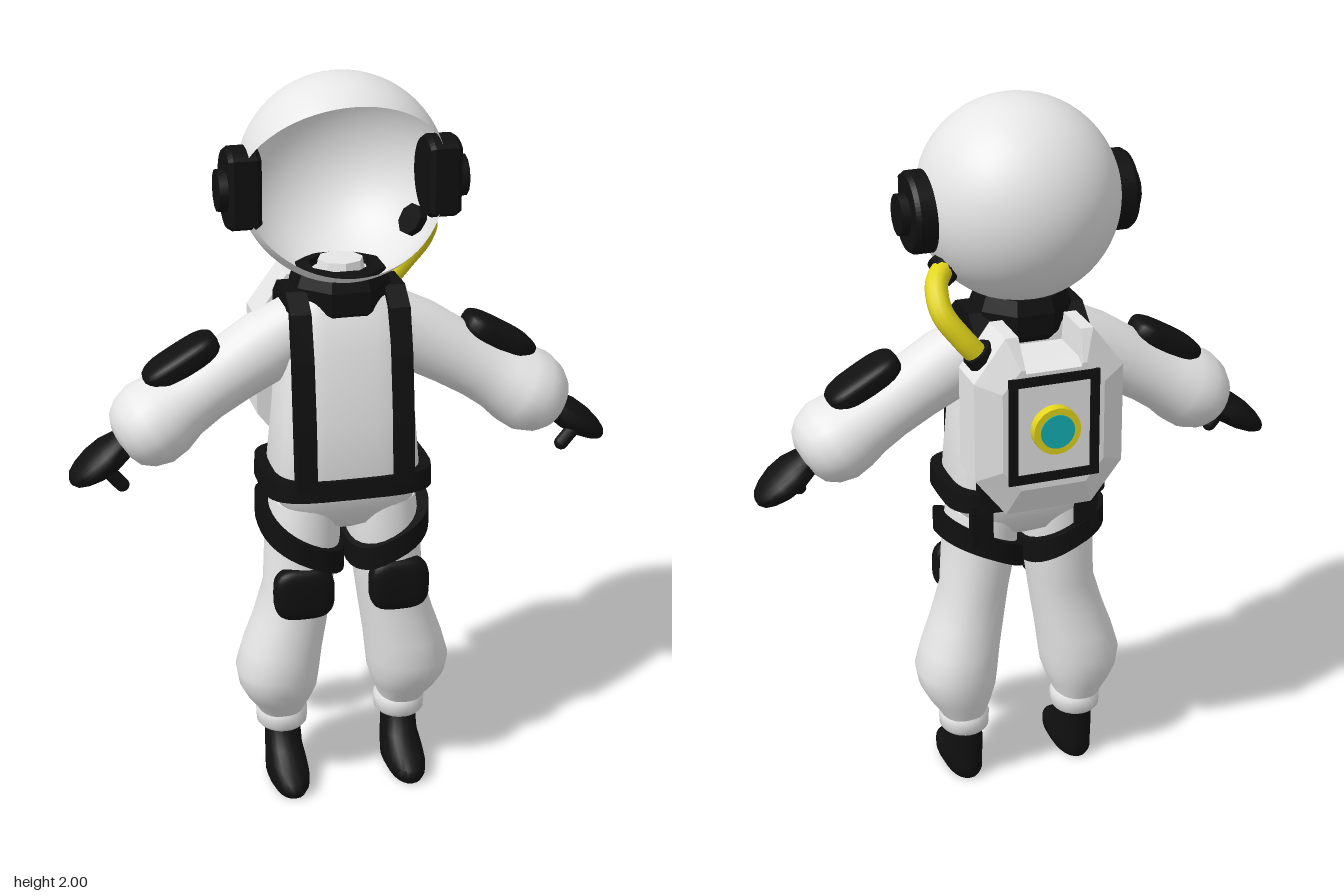
import * as THREE from 'three';
import { toCreasedNormals } from 'three/addons/utils/BufferGeometryUtils.js';

const flat = (name, color) => Object.assign(new THREE.MeshStandardMaterial({ color }), { name });
const D = Math.PI / 180;

// Solid through stacked super-ellipse sections [y, cx, cz, rx, rz], bottom to top
function loft(sections, power = 2, n = 24, crease = 0.9) {
  const pos = [], idx = [], m = sections.length;
  const bend = v => Math.sign(v) * Math.pow(Math.abs(v), 2 / power);
  for (const [y, cx, cz, rx, rz] of sections)
    for (let i = 0; i < n; i++) {
      const a = i / n * Math.PI * 2;
      pos.push(cx + rx * bend(Math.cos(a)), y, cz + rz * bend(Math.sin(a)));
    }
  const [b, t] = [sections[0], sections[m - 1]];
  pos.push(b[1], b[0], b[2], t[1], t[0], t[2]);
  for (let i = 0; i < n; i++) {
    const j = (i + 1) % n;
    for (let k = 0; k < m - 1; k++) {
      const o = k * n;
      idx.push(o + i, o + n + i, o + j, o + j, o + n + i, o + n + j);
    }
    idx.push(m * n, i, j, m * n + 1, (m - 1) * n + j, (m - 1) * n + i);
  }
  const g = new THREE.BufferGeometry();
  g.setAttribute('position', new THREE.Float32BufferAttribute(pos, 3));
  g.setIndex(idx);
  return toCreasedNormals(g, crease);
}

// Rounded-square cushion
function padGeometry(w, h, d) {
  const g = new THREE.SphereGeometry(1, 24, 16), p = g.attributes.position;
  const sq = v => Math.sign(v) * Math.pow(Math.abs(v), 0.6);
  for (let i = 0; i < p.count; i++) p.setXYZ(i, w * sq(p.getX(i)), h * sq(p.getY(i)), d * sq(p.getZ(i)));
  g.computeVertexNormals();
  return g;
}

// Backpack: notched octagon, straight sides, bevelled back
function packGeometry() {
  const both = half => [...half, ...half.map(([x, y]) => [-x, y]).reverse()].map(p => new THREE.Vector2(...p));
  const outer = both([[0.12, 0.94], [0.205, 1.05], [0.205, 1.325], [0.12, 1.44], [0.085, 1.44], [0.08, 1.365]]);
  const inner = both([[0.09, 1.02], [0.14, 1.08], [0.14, 1.3], [0.09, 1.36], [0.078, 1.36], [0.076, 1.35]]);
  const n = outer.length, pos = [], idx = [];
  [[outer, -0.055], [outer, -0.18], [inner, -0.215]].forEach(([ring, z]) => ring.forEach(p => pos.push(p.x, p.y, z)));
  for (let k = 0; k < 2; k++)
    for (let i = 0; i < n; i++) {
      const a = k * n + i, b = k * n + (i + 1) % n;
      idx.push(a, a + n, b, b, a + n, b + n);
    }
  for (const [a, b, c] of THREE.ShapeUtils.triangulateShape(outer, [])) idx.push(a, b, c);
  for (const [a, b, c] of THREE.ShapeUtils.triangulateShape(inner, [])) idx.push(2 * n + a, 2 * n + c, 2 * n + b);
  const g = new THREE.BufferGeometry();
  g.setAttribute('position', new THREE.Float32BufferAttribute(pos, 3));
  g.setIndex(idx);
  return toCreasedNormals(g, 0.1);
}

export function createModel() {
  const white = flat('suit white', 0xe6e6e6), black = flat('trim black', 0x101010);
  const yellow = flat('hose yellow', 0xe4d61c), cyan = flat('lens cyan', 0x14b4b8);
  const shell = flat('helmet white', 0xe6e6e6);
  shell.side = THREE.DoubleSide;
  const model = new THREE.Group();
  const add = (name, geo, mat, parent = model, p = [0, 0, 0], r = [0, 0, 0]) => {
    const mesh = new THREE.Mesh(geo, mat);
    mesh.name = name;
    mesh.position.set(...p);
    mesh.rotation.set(...r);
    parent.add(mesh);
    return mesh;
  };

  // Helmet: sphere with an open wedge at the front
  const helmet = new THREE.SphereGeometry(0.271, 48, 32, 144 * D, 250 * D).rotateZ(Math.PI / 2);
  add('helmet', helmet, shell, model, [0, 1.729, 0.065]);

  // Collar and neck
  const collar = [[0.11, 1.37], [0.13, 1.39], [0.135, 1.45], [0.12, 1.49], [0.085, 1.495], [0.08, 1.42]]
    .map(p => new THREE.Vector2(...p));
  add('collar', toCreasedNormals(new THREE.LatheGeometry(collar, 8, Math.PI / 8), 0.3), black, model, [0, 0, 0.045]);
  add('neck', toCreasedNormals(new THREE.CylinderGeometry(0.06, 0.082, 0.13, 8), 0.3), white, model, [0, 1.445, 0.05]);

  // Torso, belt
  add('torso', loft([
    [0.77, 0, 0.07, 0.04, 0.05], [0.8, 0, 0.07, 0.12, 0.1], [0.86, 0, 0.072, 0.185, 0.135], [0.93, 0, 0.075, 0.2, 0.148],
    [1.1, 0, 0.078, 0.185, 0.137], [1.3, 0, 0.068, 0.17, 0.118], [1.39, 0, 0.05, 0.15, 0.105], [1.435, 0, 0.045, 0.1, 0.085],
  ], 3.5, 40), white);
  add('belt', loft([[0.9, 0, 0.073, 0.23, 0.163], [0.955, 0, 0.073, 0.228, 0.16]], 4, 40), black);

  // Backpack with gauge
  add('backpack', packGeometry(), white);
  const frame = new THREE.Shape([[-0.125, -0.15], [0.125, -0.15], [0.125, 0.15], [-0.125, 0.15]].map(p => new THREE.Vector2(...p)));
  frame.holes.push(new THREE.Path([[-0.1, -0.125], [-0.1, 0.125], [0.1, 0.125], [0.1, -0.125]].map(p => new THREE.Vector2(...p))));
  add('gaugeFrame', new THREE.ExtrudeGeometry(frame, { depth: 0.008, bevelEnabled: false }), black, model, [0, 1.19, -0.221]);
  const disc = (r, h, n) => new THREE.CylinderGeometry(r, r, h, n).rotateX(-Math.PI / 2);
  add('gaugeRing', disc(0.065, 0.04, 20), yellow, model, [0, 1.19, -0.224]);
  add('gaugeLens', disc(0.047, 0.006, 20), cyan, model, [0, 1.19, -0.244]);

  // Air hose and its connectors
  const hose = new THREE.CatmullRomCurve3([[0.165, 1.37, -0.125], [0.215, 1.43, -0.122], [0.262, 1.5, -0.1],
    [0.258, 1.56, -0.045], [0.215, 1.585, 0.01]].map(p => new THREE.Vector3(...p)));
  add('airHose', new THREE.TubeGeometry(hose, 24, 0.03, 12), yellow);
  const fitting = (name, at, dir, r, h) => {
    const m = add(name, toCreasedNormals(new THREE.CylinderGeometry(r, r, h, 8), 0.3), black, model, at);
    m.quaternion.setFromUnitVectors(new THREE.Vector3(0, 1, 0), new THREE.Vector3(...dir).normalize());
  };
  fitting('helmetFitting', [0.215, 1.58, 0.01], [0.8, -0.45, -0.3], 0.043, 0.05);
  fitting('packFitting', [0.17, 1.38, -0.125], [0.6, 0.8, 0], 0.042, 0.035);

  // Harness strap, a side profile thickened towards the body
  const path = [[0.235, 0.93], [0.225, 1.1], [0.2, 1.28], [0.168, 1.4], [0.11, 1.445], [0.0, 1.445],
    [-0.055, 1.4], [-0.07, 1.2], [-0.085, 0.93]];
  const inside = path.map(([z, y]) => [0.06 + (z - 0.06) * 0.75, y > 1.42 ? y - 0.05 : y]).reverse();
  const strap = new THREE.ExtrudeGeometry(new THREE.Shape([...path, ...inside].map(([z, y]) => new THREE.Vector2(-z, y))),
    { depth: 0.055, bevelEnabled: false }).rotateY(Math.PI / 2);

  // Ear cup, cut along the edges of the helmet opening
  const cup = new THREE.Shape();
  cup.moveTo(0, 0);
  cup.absarc(0, 0, 0.1, -124 * D, 126 * D, false);
  const cupGeo = new THREE.ExtrudeGeometry(cup,
    { depth: 0.06, bevelSize: 0.008, bevelThickness: 0.012, bevelSegments: 1, curveSegments: 20 }).rotateY(Math.PI / 2);

  // Thigh band, lowered towards the crotch and raised at the back
  const band = loft([[0.725, 0.118, 0.066, 0.116, 0.148], [0.79, 0.118, 0.066, 0.116, 0.148]], 2.5, 32);
  const bp = band.attributes.position;
  for (let i = 0; i < bp.count; i++)
    bp.setY(i, bp.getY(i) + 0.055 * (bp.getX(i) - 0.118) / 0.116 - 0.025 * (bp.getZ(i) - 0.066) / 0.148);
  const bandGeo = toCreasedNormals(band, 0.9);

  const legGeo = loft([
    [0.2, 0.172, 0.055, 0.06, 0.068], [0.225, 0.175, 0.058, 0.07, 0.08], [0.26, 0.18, 0.065, 0.09, 0.1],
    [0.3, 0.184, 0.072, 0.107, 0.118], [0.35, 0.185, 0.075, 0.114, 0.128], [0.42, 0.171, 0.077, 0.108, 0.125],
    [0.5, 0.15, 0.08, 0.1, 0.117], [0.6, 0.128, 0.08, 0.092, 0.115], [0.75, 0.112, 0.074, 0.1, 0.128],
    [0.86, 0.105, 0.072, 0.092, 0.125],
  ], 2.2, 28);
  const cuffGeo = loft([[0.158, 0.17, 0.055, 0.062, 0.066], [0.168, 0.17, 0.055, 0.07, 0.075],
    [0.205, 0.17, 0.055, 0.072, 0.077], [0.22, 0.17, 0.055, 0.064, 0.068]]);
  const bootGeo = loft([
    [0.003, 0.168, 0.115, 0.046, 0.112], [0.02, 0.168, 0.115, 0.055, 0.122], [0.045, 0.168, 0.114, 0.056, 0.119],
    [0.07, 0.168, 0.095, 0.054, 0.1], [0.1, 0.168, 0.066, 0.05, 0.07], [0.165, 0.168, 0.053, 0.048, 0.054],
  ], 2.3);

  // Arm and glove are lofted along +y, then swung out and down
  const armGeo = loft([
    [0, 0, 0.062, 0.09, 0.09], [0.1, 0, 0.062, 0.098, 0.094], [0.2, 0, 0.064, 0.092, 0.094], [0.29, 0, 0.066, 0.091, 0.1],
    [0.36, 0, 0.07, 0.097, 0.112], [0.41, 0, 0.078, 0.11, 0.13], [0.46, 0, 0.08, 0.114, 0.136],
    [0.505, 0, 0.08, 0.1, 0.12], [0.535, 0, 0.08, 0.078, 0.09], [0.55, 0, 0.08, 0.045, 0.05],
  ]);
  const handGeo = loft([
    [0, 0, 0.08, 0.034, 0.045], [0.04, 0, 0.08, 0.038, 0.06], [0.08, 0, 0.08, 0.043, 0.078], [0.125, 0, 0.08, 0.04, 0.08],
    [0.165, 0, 0.078, 0.031, 0.066], [0.19, 0, 0.077, 0.021, 0.046], [0.202, 0, 0.077, 0.008, 0.02],
  ]);

  for (const [side, sign] of [['left', 1], ['right', -1]]) {
    const half = new THREE.Group();
    half.name = side + 'Side';
    half.scale.x = sign;
    model.add(half);
    const part = (name, ...rest) => add(side + name, rest[0], rest[1], half, rest[2], rest[3]);
    part('EarCup', cupGeo, black, [0.232, 1.718, 0.065]);
    part('EarHub', toCreasedNormals(new THREE.CylinderGeometry(0.055, 0.062, 0.1, 12), 0.6), black,
      [0.277, 1.715, 0.065], [0, 0, -Math.PI / 2]);
    part('ShoulderStrap', strap, black, [0.104, 0, 0]);
    part('ThighBand', bandGeo, black);
    part('BackTab', new THREE.BoxGeometry(0.06, 0.12, 0.03), black, [0.15, 0.86, -0.062]);
    part('Leg', legGeo, white);
    part('TrouserCuff', cuffGeo, white);
    part('Boot', bootGeo, black);
    part('KneePad', padGeometry(0.083, 0.075, 0.035), black, [0.132, 0.617, 0.182]);
    part('Arm', armGeo, white, [0.12, 1.335, 0], [0, 0, -120 * D]);
    part('ElbowPad', padGeometry(0.11, 0.036, 0.066), black, [0.43, 1.268, 0.07], [0, 0, -30 * D]);
    part('Glove', handGeo, black, [0.565, 1.075, 0], [0, 0, -125 * D]);
    part('Thumb', new THREE.CapsuleGeometry(0.019, 0.06, 6, 12), black, [0.622, 0.982, 0.125], [0, 0, -40 * D]);
  }
  return model;
}
